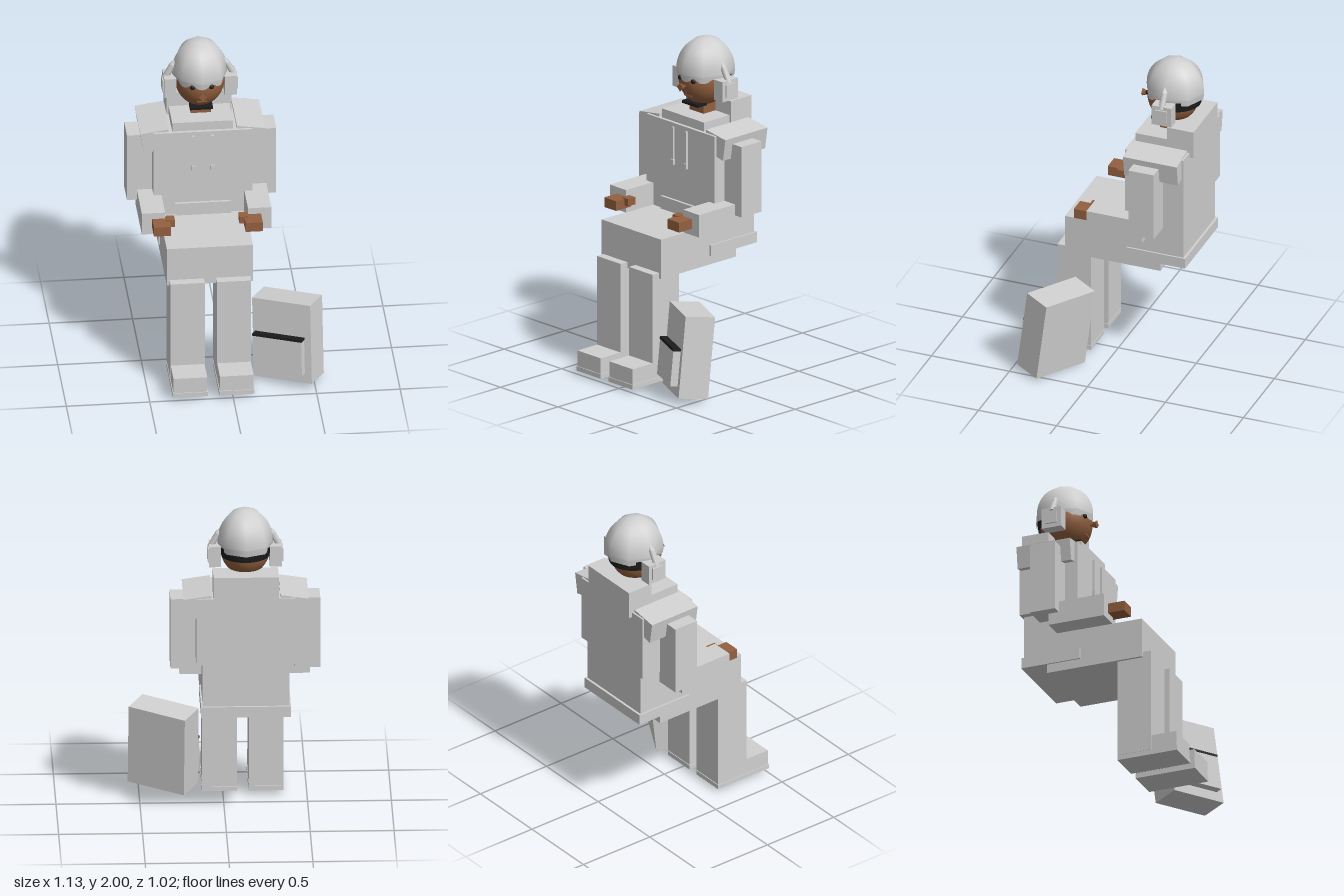
import * as THREE from 'three';

const CX = -0.118; // body centre line
const mat = (name, color, extra = {}) => {
  const m = new THREE.MeshStandardMaterial({ color, ...extra });
  m.name = name;
  return m;
};

export function createModel() {
  const model = new THREE.Group();
  model.name = 'seatedFigureWithBag';
  const grey = mat('pale grey', 0xd0d0d0, { side: THREE.DoubleSide });
  const skin = mat('brown skin', 0x94603f);
  const black = mat('black', 0x1c1c1c, { side: THREE.DoubleSide });

  const add = (name, geometry, material, parent = model) => {
    const mesh = new THREE.Mesh(geometry, material);
    mesh.name = name;
    parent.add(mesh);
    return mesh;
  };
  // box given by its limits
  const box = (name, [x0, x1], [y0, y1], [z0, z1], material = grey, parent = model) => {
    const m = add(name, new THREE.BoxGeometry(x1 - x0, y1 - y0, z1 - z0), material, parent);
    m.position.set((x0 + x1) / 2, (y0 + y1) / 2, (z0 + z1) / 2);
    return m;
  };
  // box at a distance from the centre line, on the side s
  const sideBox = (name, s, [a, b], y, z, material = grey) =>
    box(name, s > 0 ? [CX + a, CX + b] : [CX - b, CX - a], y, z, material);

  // torso, hem, lap
  box('torso', [-0.414, 0.178], [1.067, 1.487], [-0.487, -0.113]);
  box('waist', [-0.376, 0.14], [0.76, 1.067], [-0.472, -0.125]);
  box('hem', [-0.386, 0.15], [0.73, 0.797], [-0.487, -0.11]);
  box('bellyPocket', [-0.285, 0.049], [0.9, 1.003], [-0.13, -0.108]);
  box('lap', [-0.376, 0.14], [0.675, 0.923], [-0.325, 0.288]);
  box('collar', [-0.3, 0.064], [1.48, 1.543], [-0.47, -0.134]);
  box('hood', [-0.313, 0.077], [1.455, 1.632], [-0.512, -0.342]);

  for (const s of [1, -1]) {
    const side = s > 0 ? 'left' : 'right';
    // legs and shoes
    sideBox(side + 'Leg', s, [0.036, 0.242], [0.06, 0.71], [0.125, 0.342]);
    sideBox(side + 'Shoe', s, [0.038, 0.24], [0.05, 0.153], [0.13, 0.503]);
    sideBox(side + 'Sole', s, [0.034, 0.244], [0.027, 0.055], [0.125, 0.508]);

    // arms and hands
    sideBox(side + 'UpperArm', s, [0.292, 0.447], [0.997, 1.44], [-0.356, -0.194]);
    sideBox(side + 'Forearm', s, [0.248, 0.388], [0.924, 1.066], [-0.26, 0.098]);
    sideBox(side + 'Hand', s, [0.223, 0.326], [0.965, 1.026], [0.08, 0.203], skin);
    sideBox(side + 'Thumb', s, [0.193, 0.245], [0.985, 1.031], [0.075, 0.135], skin);

    // shoulder pad
    const pad = new THREE.Shape([[0.205, 1.505], [0.373, 1.48], [0.352, 1.345], [0.298, 1.357],
      [0.285, 1.445], [0.205, 1.46]].map(([x, y]) => new THREE.Vector2(CX + s * x, y)));
    add(side + 'ShoulderPad', new THREE.ExtrudeGeometry(pad, { depth: 0.345, bevelEnabled: false }), grey)
      .position.z = -0.475;

    // hood drawstring
    sideBox(side + 'Drawstring', s, [0.05, 0.064], [1.25, 1.463], [-0.115, -0.1]);
    sideBox(side + 'DrawstringTip', s, [0.045, 0.068], [1.228, 1.262], [-0.116, -0.093]);

    // ear cover with its pointed arm
    sideBox(side + 'EarCover', s, [0.145, 0.217], [1.65, 1.778], [-0.378, -0.252]);
    sideBox(side + 'EarPlate', s, [0.21, 0.226], [1.676, 1.754], [-0.352, -0.278]);
    const arm = add(side + 'EarArm', new THREE.CylinderGeometry(0.02, 0.02, 0.1, 6), grey);
    arm.position.set(CX + s * 0.185, 1.8, -0.313);
    arm.rotation.z = s * 0.5;
    const tip = add(side + 'EarArmTip', new THREE.ConeGeometry(0.02, 0.05, 6), grey);
    tip.position.set(CX + s * 0.15, 1.865, -0.313);
    tip.rotation.z = s * 0.5;

    // eye
    const eye = add(side + 'Eye', new THREE.SphereGeometry(0.016, 12, 8), black);
    eye.position.set(CX + s * 0.056, 1.763, -0.167);
  }

  // head
  box('neck', [CX - 0.061, CX + 0.061], [1.53, 1.64], [-0.37, -0.245], skin);
  const head = add('head', new THREE.SphereGeometry(1, 32, 24), skin);
  head.scale.set(0.15, 0.17, 0.157);
  head.position.set(CX, 1.752, -0.307);
  const nose = add('nose', new THREE.ConeGeometry(0.026, 0.06, 4), skin);
  nose.rotation.x = -Math.PI / 2;
  nose.position.set(CX, 1.725, -0.139);
  box('mouth', [CX - 0.03, CX + 0.03], [1.656, 1.666], [-0.2, -0.171], skin);
  box('chinStrap', [CX - 0.068, CX + 0.068], [1.594, 1.611], [-0.265, -0.19], black);

  // helmet: eight-sided smooth dome
  const dome = [[0.97, 1.755], [1, 1.79]];
  for (let i = 0; i <= 10; i++) {
    const a = (i / 10) * Math.PI / 2;
    dome.push([Math.cos(a), 1.8 + 0.2 * Math.sin(a)]);
  }
  const helmet = add('helmet', new THREE.LatheGeometry(
    dome.map(([r, y]) => new THREE.Vector2(Math.max(r, 0), y)), 8), grey);
  helmet.scale.set(0.166, 1, 0.184);
  helmet.position.set(CX, 0, -0.319);

  // band under the back of the helmet
  const band = add('helmetBand',
    new THREE.CylinderGeometry(1, 0.95, 0.065, 24, 1, true, Math.PI * 0.6, Math.PI * 0.8), black);
  band.scale.set(0.158, 1, 0.172);
  band.position.set(CX, 1.745, -0.312);

  // bag leaning beside the leg
  const bag = new THREE.Group();
  bag.name = 'bag';
  const bx = new THREE.Vector3(0.33, 0.025, 0.18).normalize();
  const by = new THREE.Vector3(0, 0.5, -0.06).normalize();
  const bz = new THREE.Vector3().crossVectors(bx, by).normalize();
  by.crossVectors(bz, bx);
  bag.quaternion.setFromRotationMatrix(new THREE.Matrix4().makeBasis(bx, by, bz));
  bag.position.set(0.3525, 0.274, 0.26);
  model.add(bag);
  box('bagBody', [-0.188, 0.188], [-0.252, 0.252], [-0.091, 0.091], grey, bag);
  box('bagPocket', [-0.17, 0.144], [-0.19, 0.026], [0.085, 0.136], grey, bag);
  box('bagPocketFlap', [-0.172, 0.146], [0.026, 0.041], [0.085, 0.138], black, bag);

  return model;
}
